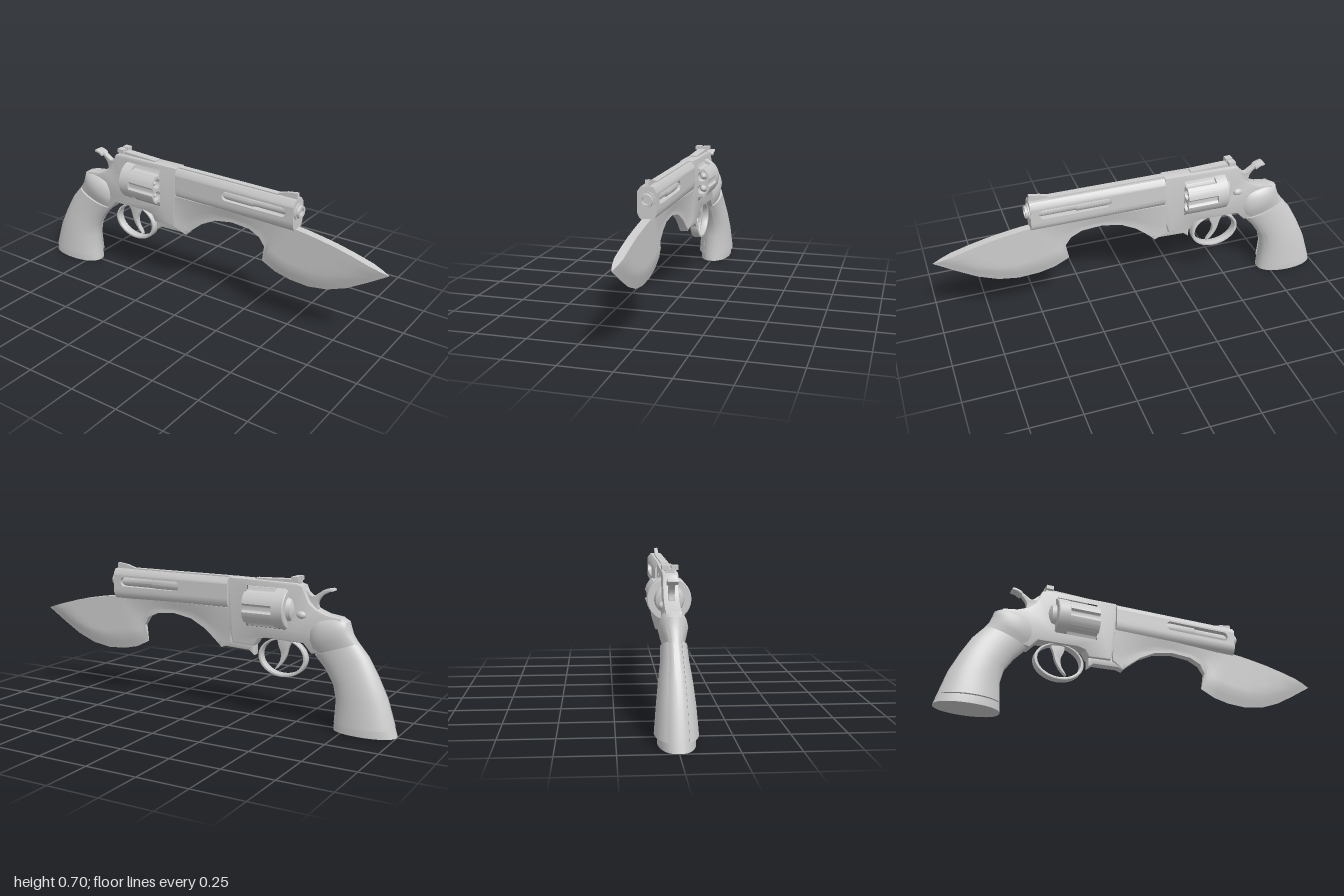
import * as THREE from 'three';
import { toCreasedNormals } from 'three/addons/utils/BufferGeometryUtils.js';

const material = new THREE.MeshStandardMaterial({ color: 0xcccccc });
const V = (x, y, z) => new THREE.Vector3(x, y, z);

// Skin a row of equal closed rings and cap both ends; winding is fixed by volume
function loft(rings) {
  const n = rings[0].length, tris = [];
  for (let i = 0; i < rings.length - 1; i++) for (let j = 0; j < n; j++) {
    const k = (j + 1) % n, [a, b, c, d] = [rings[i][j], rings[i][k], rings[i + 1][k], rings[i + 1][j]];
    tris.push([a, b, c], [a, c, d]);
  }
  [rings[0], rings[rings.length - 1]].forEach((ring, end) => {
    const mid = ring.reduce((s, p) => s.add(p), V(0, 0, 0)).divideScalar(n);
    ring.forEach((p, j) => {
      const q = ring[(j + 1) % n];
      tris.push(end ? [p, q, mid] : [q, p, mid]);
    });
  });
  let volume = 0;
  for (const [a, b, c] of tris) volume += a.dot(b.clone().cross(c));
  if (volume < 0) tris.forEach(t => t.reverse());
  const geo = new THREE.BufferGeometry().setFromPoints(tris.flat());
  return toCreasedNormals(geo, 0.6);
}

// Outline in the side plane, extruded evenly to both sides
const outline = pts => new THREE.Shape(pts.map(p => new THREE.Vector2(...p)));
function plate(shape, width, bevel = 0) {
  const geo = new THREE.ExtrudeGeometry(shape, {
    depth: width - 2 * bevel, bevelEnabled: bevel > 0, bevelSize: bevel, bevelOffset: -bevel,
    bevelThickness: bevel, bevelSegments: 2, curveSegments: 24,
  });
  geo.translate(0, 0, -(width - 2 * bevel) / 2);
  return toCreasedNormals(geo, 0.6);
}

// Smooth closed outline through a few points
function smoothOutline(pts) {
  const curve = new THREE.CatmullRomCurve3(pts.map(p => V(p[0], p[1], 0)), true);
  return outline(curve.getPoints(60).map(p => [p.x, p.y]));
}

// Turned part about the x axis; profile is [x, radius]
function turned(profile, y, z = 0) {
  const geo = new THREE.LatheGeometry(profile.map(([x, r]) => new THREE.Vector2(r, x)), 32);
  geo.rotateZ(-Math.PI / 2);
  return toCreasedNormals(geo.translate(0, y, z), 0.6);
}

export function createModel() {
  const group = new THREE.Group();
  const add = (name, geo) => {
    const mesh = new THREE.Mesh(geo, material);
    mesh.name = name;
    group.add(mesh);
    return mesh;
  };
  const box = (name, w, h, d, x, y, z = 0) => add(name, new THREE.BoxGeometry(w, h, d).translate(x, y, z));

  // Frame with cylinder window
  const frame = outline([[-.74, .49], [-.72, .53], [-.65, .54], [-.6, .56], [-.565, .59], [-.545, .63], [-.53, .665],
    [-.5, .675], [-.14, .68], [-.14, .52], [-.15, .42], [-.165, .36], [-.28, .355], [-.3, .39], [-.34, .4],
    [-.54, .395], [-.58, .35], [-.64, .36], [-.7, .42]]);
  frame.holes.push(new THREE.Path([[-.46, .445], [-.46, .655], [-.235, .655], [-.235, .445]].map(p => new THREE.Vector2(...p))));
  add('frame', plate(frame, .072, .008));
  add('recoilShield', turned([[-.5, 0], [-.495, .035], [-.48, .062], [-.46, .068], [-.46, 0]], .55));

  // Cylinder: plain rear band, fluted front with chambers and rounds
  const axisY = .548, R = .1;
  add('cylinderRear', turned([[-.46, 0], [-.46, .096], [-.456, R], [-.4, R], [-.4, 0]], axisY));
  const fluted = [];
  for (let i = 0; i < 180; i++) {
    const a = i * Math.PI / 90, off = a - Math.round(a / (Math.PI / 3)) * Math.PI / 3;
    const c = .106, root = .021 ** 2 - (c * Math.sin(off)) ** 2;
    const r = root > 0 ? Math.min(R, c * Math.cos(off) - Math.sqrt(root)) : R;
    fluted.push([r * Math.cos(a), r * Math.sin(a)]);
  }
  const flutedShape = outline(fluted);
  for (let i = 0; i < 6; i++) {
    const a = Math.PI / 6 + i * Math.PI / 3, y = .066 * Math.sin(a), z = .066 * Math.cos(a);
    flutedShape.holes.push(new THREE.Path().absarc(z, y, .025, 0, Math.PI * 2, true));
    add('round', turned([[-.4, .022], [-.29, .022], [-.265, .015], [-.252, .006], [-.25, 0]], axisY + y, z));
  }
  add('cylinderFront', plate(flutedShape, .155).rotateY(Math.PI / 2).translate(-.3225, axisY, 0));
  add('cylinderPin', turned([[-.25, .018], [-.23, .018]], axisY));

  // Barrel: flat sides with long slots, tapered top and chamfered underside
  const prism = section => loft([-.14, .53].map(x => section.map(([z, y]) => V(x, y, z))));
  add('barrelTop', prism([[-.045, .645], [-.043, .655], [-.027, .676], [.027, .676], [.043, .655], [.045, .645]]));
  add('barrelUnderside', prism([[-.045, .575], [-.045, .555], [-.036, .535], [-.02, .522],
    [.02, .522], [.036, .535], [.045, .555], [.045, .575]]));
  const sides = outline([[-.14, .575], [.53, .575], [.53, .645], [-.14, .645]]);
  const slot = new THREE.Path();
  slot.absarc(.465, .611, .024, -Math.PI / 2, Math.PI / 2);
  slot.absarc(.16, .611, .024, Math.PI / 2, Math.PI * 1.5);
  sides.holes.push(slot);
  add('barrelSides', plate(sides, .09));
  add('barrelCore', turned([[.1, .034], [.3, .034], [.31, .028], [.52, .028]], .611));
  add('muzzle', turned([[.525, .04], [.537, .04], [.537, .032], [.55, .03], [.55, .018], [.5, .016], [.5, 0]], .615));
  box('topRib', .57, .008, .03, .145, .678);

  // Sights
  add('frontSight', plate(outline([[.4, .675], [.47, .697], [.525, .705], [.53, .675]]), .018));
  add('rearSightBase', plate(outline([[-.51, .67], [-.51, .69], [-.45, .69], [-.28, .684], [-.28, .67]]), .04));
  for (const s of [-1, 1]) box('rearSightLeaf', .035, .02, .032, -.492, .695, s * .021);

  // Curved web and blade: one loft of top-to-edge stations [topX, topY, bottomX, bottomY, topW, lowW, blade]
  const stations = [
    [-.15, .53, -.155, .36, .037, .034], [-.12, .53, -.095, .33, .036, .022], [-.06, .53, -.055, .365, .035, .02],
    [0, .53, 0, .41, .034, .018], [.08, .53, .08, .452, .032, .018], [.18, .53, .18, .47, .03, .018],
    [.28, .53, .28, .462, .027, .018], [.37, .53, .335, .435, .024, .018], [.44, .53, .362, .39, .021, .012],
    [.5, .53, .345, .305, .02, .02, 1], [.53, .53, .42, .268, .02, .02, 1], [.58, .525, .5, .25, .02, .02, 1],
    [.65, .514, .6, .244, .02, .02, 1], [.73, .5, .7, .26, .02, .02, 1], [.82, .479, .8, .3, .02, .02, 1],
    [.91, .454, .9, .36, .02, .02, 1], [.96, .438, .955, .396, .02, .02, 1], [1, .425, .999, .424, .02, .02, 1]];
  const steps = [0, .15, .3, .5, .65, .75, .88, 1];
  add('bladeAndWeb', loft(stations.map(([tx, ty, bx, by, tw, lw, blade]) => {
    const length = Math.hypot(tx - bx, ty - by);
    const side = steps.map(t => {
      const bevel = blade ? Math.min(1, (1 - t) * length / .07) : 1;
      const w = Math.max(.0004, (tw + (lw - tw) * Math.min(1, t * 1.4)) * bevel);
      return V(tx + (bx - tx) * t, ty + (by - ty) * t, w);
    });
    return [...side, ...side.map(p => V(p.x, p.y, -p.z)).reverse()];
  })));
  add('lowerLug', plate(outline([[-.28, .37], [-.278, .305], [-.25, .328], [-.12, .333], [-.095, .324],
    [-.07, .355], [-.13, .42], [-.24, .42]]), .044, .005));

  // Trigger guard and trigger
  const guard = new THREE.Shape().absellipse(-.425, .31, .125, .095, 0, Math.PI * 2);
  guard.holes.push(new THREE.Path().absellipse(-.425, .313, .11, .084, 0, Math.PI * 2, true));
  add('triggerGuard', plate(guard, .042, .004));
  add('trigger', plate(smoothOutline([[-.47, .4], [-.455, .36], [-.44, .31], [-.415, .27], [-.385, .245],
    [-.388, .255], [-.41, .29], [-.415, .33], [-.4, .37], [-.4, .4]]), .022, .003));

  // Hammer with thumb spur
  add('hammer', plate(smoothOutline([[-.6, .55], [-.6, .59], [-.615, .617], [-.64, .638], [-.675, .65],
    [-.672, .659], [-.635, .655], [-.6, .633], [-.575, .62], [-.55, .64], [-.53, .655], [-.53, .56]]), .026, .003));
  add('hammerSpur', plate(smoothOutline([[-.678, .65], [-.655, .644], [-.63, .632], [-.627, .645], [-.65, .657], [-.674, .66]]), .05, .003));

  // Thumb latch on the right-hand side
  add('cylinderLatch', new THREE.SphereGeometry(.02, 20, 12).scale(1.2, .9, .8).translate(-.53, .53, -.038));

  // Grip core and shoulder: oval sections between back and front points [backX, backY, frontX, frontY, halfWidth]
  const oval = ([bx, by, fx, fy, w], from, to, count, grow = 1) => Array.from({ length: count }, (_, i) => {
    const a = from + (to - from) * i / (to - from > 6 ? count : count - 1);
    const c = Math.cos(a) * grow, s = Math.sin(a);
    return V((bx + fx) / 2 + (fx - bx) / 2 * c, (by + fy) / 2 + (fy - by) / 2 * c,
      w * Math.sign(s) * Math.abs(s) ** .85);
  });
  const grip = [[-1, 0, -.695, 0, .08], [-.988, .04, -.698, .04, .08], [-.947, .17, -.705, .15, .07],
    [-.9, .27, -.688, .22, .06], [-.85, .36, -.645, .285, .048], [-.8, .42, -.59, .345, .044]];
  const shoulder = [[-.815, .4, -.605, .33, .04], [-.775, .455, -.57, .37, .056], [-.762, .49, -.56, .41, .065],
    [-.755, .515, -.56, .45, .058], [-.73, .53, -.57, .49, .045], [-.69, .535, -.6, .52, .02]];
  const ring = s => oval(s, 0, Math.PI * 2, 40);
  add('gripCore', loft(grip.map(ring)));
  add('gripShoulder', loft(shoulder.map(ring)));

  // Raised grip panels, mirrored
  const panelRings = grip.slice(1).map(([bx, by, fx, fy, w]) => oval([bx, by, fx, fy, w + .013], .42, Math.PI - .42, 20, 1.02));
  for (const s of [-1, 1])
    add('gripPanel', loft(panelRings.map(r => r.map(p => V(p.x, p.y, p.z * s)))));

  return group;
}
